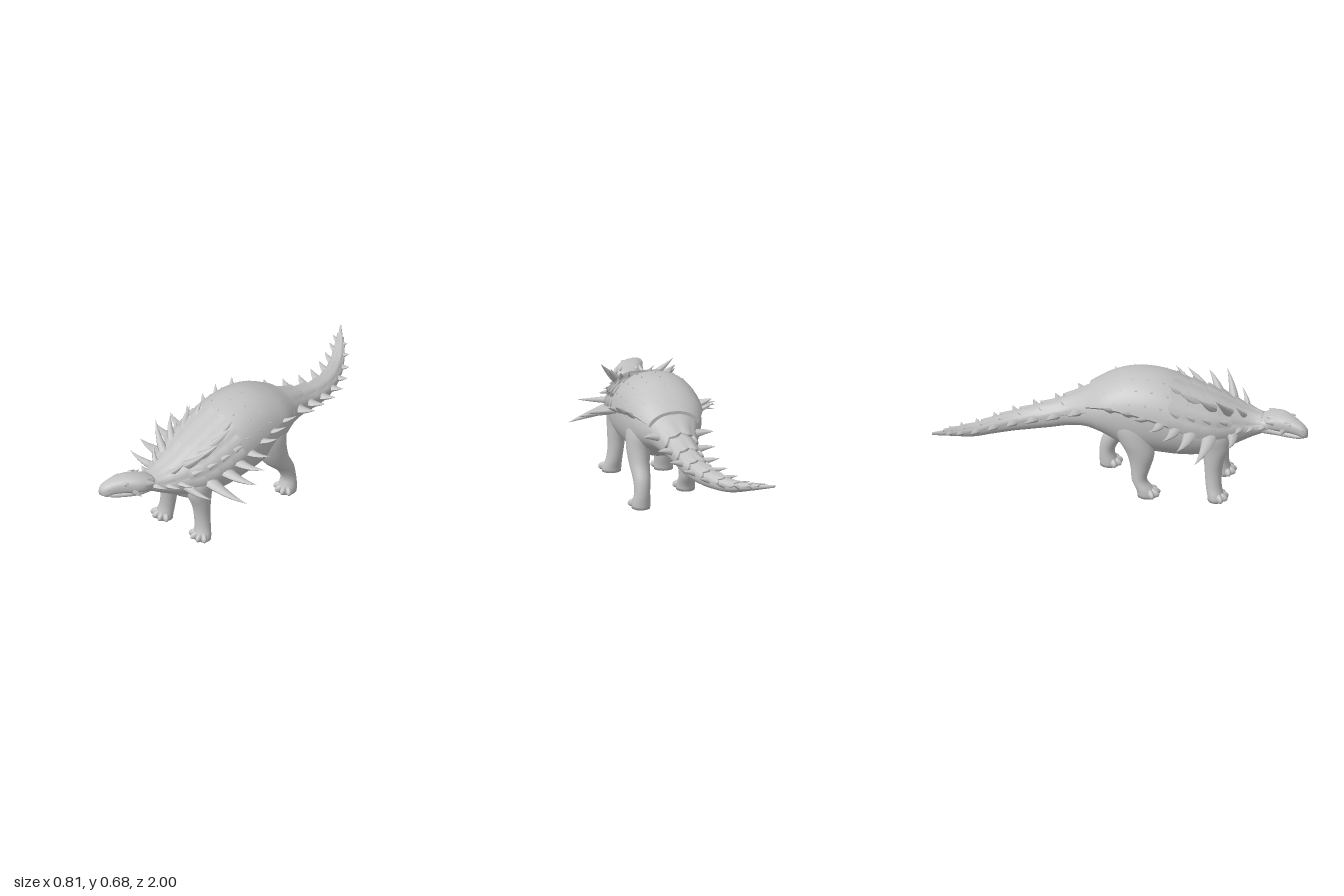
import * as THREE from 'three';
import { toCreasedNormals } from 'three/addons/utils/BufferGeometryUtils.js';

const hide = new THREE.MeshStandardMaterial({ color: 0xc2c2c2 });
hide.name = 'grey hide';
const V = (x, y, z) => new THREE.Vector3(x, y, z);

// Smooth lookup in a table whose first column is the parameter
function lookup(rows) {
  const f = new THREE.CubicInterpolant(rows.map(r => r[0]), rows.flatMap(r => r.slice(1)), rows[0].length - 1);
  return t => Array.from(f.evaluate(t));
}

// Surface through rings of points; closed rings are capped at both ends
function skin(rings, closed = true) {
  const n = rings[0].length, pos = [], idx = [];
  rings.forEach(r => r.forEach(p => pos.push(p.x, p.y, p.z)));
  const m = closed ? n : n - 1;
  for (let i = 0; i < rings.length - 1; i++) for (let j = 0; j < m; j++) {
    const a = i * n + j, b = i * n + (j + 1) % n;
    idx.push(a, b, a + n, b, b + n, a + n);
  }
  if (closed) [0, rings.length - 1].forEach((i, end) => {
    const c = rings[i].reduce((s, p) => s.add(p), V(0, 0, 0)).divideScalar(n);
    const k = pos.push(c.x, c.y, c.z) / 3 - 1;
    for (let j = 0; j < n; j++) {
      const a = i * n + j, b = i * n + (j + 1) % n;
      end ? idx.push(a, b, k) : idx.push(b, a, k);
    }
  });
  const g = new THREE.BufferGeometry();
  g.setAttribute('position', new THREE.Float32BufferAttribute(pos, 3));
  g.setIndex(idx);
  g.computeVertexNormals();
  return g;
}

// Point on a lengthwise form: table columns are z, centre x, top, bottom, half width
function surface(rows, power = 0.92) {
  const f = lookup(rows);
  return (z, a, off = 0) => {
    const [cx, top, bot, hw] = f(z), c = Math.cos(a), s = Math.sin(a);
    const bulge = v => Math.sign(v) * Math.abs(v) ** power;
    return V(cx + bulge(c) * (hw + off), (top + bot) / 2 + bulge(s) * ((top - bot) / 2 + off), z);
  };
}
function loft(rows, steps, sides, power) {
  const p = surface(rows, power), z0 = rows[0][0], z1 = rows[rows.length - 1][0];
  return skin(Array.from({ length: steps + 1 }, (_, i) =>
    Array.from({ length: sides }, (_, j) => p(z0 + (z1 - z0) * i / steps, j / sides * Math.PI * 2))));
}

const BODY = [
  [-1, -.33, .38, .365, .005], [-.9, -.235, .36, .325, .03], [-.8, -.155, .352, .29, .042],
  [-.7, -.09, .367, .283, .048], [-.6, -.045, .387, .285, .053], [-.5, -.02, .413, .292, .06],
  [-.4, -.01, .445, .307, .07], [-.3, 0, .49, .325, .09], [-.2, 0, .546, .335, .136],
  [-.1, 0, .606, .305, .182], [0, 0, .646, .25, .2], [.1, 0, .658, .228, .208], [.2, 0, .648, .22, .21],
  [.3, 0, .617, .215, .206], [.4, 0, .585, .22, .193], [.5, 0, .55, .24, .17], [.6, 0, .507, .292, .125],
  [.7, -.01, .472, .345, .08], [.78, -.035, .47, .385, .06], [.82, -.045, .46, .39, .045]];
const SKULL = [
  [.74, -.02, .47, .4, .05], [.79, -.03, .49, .4, .072], [.85, -.052, .502, .405, .075], [.9, -.08, .498, .41, .06],
  [.95, -.107, .482, .408, .044], [.985, -.122, .463, .4, .031], [1, -.127, .445, .408, .017]];
const JAW = [
  [.74, -.03, .44, .372, .055], [.83, -.05, .43, .378, .06], [.9, -.08, .425, .382, .049],
  [.95, -.105, .42, .388, .035], [.98, -.118, .415, .395, .018]];
const SKULL_POWER = 0.78;
const onBody = surface(BODY), onSkull = surface(SKULL, SKULL_POWER);
const armourEdge = z => 0.22 - 0.7 * z;

// Raised armour band from z0 (rear) to z1 (front), highest and scalloped at the rear
function band(z0, z1, edge, rear, front, scutes, steps = 4) {
  const n = scutes * 8, rings = [];
  for (let i = -1; i <= steps + 1; i++) {
    const t = Math.min(Math.max(i / steps, 0), 1), lip = i < 0 || i > steps;
    rings.push(Array.from({ length: n + 1 }, (_, j) => {
      const keel = Math.abs(Math.sin(j / n * scutes * Math.PI));
      const z = z0 + (z1 - z0) * t - (1 - t) * (z1 - z0) * 0.16 * keel;
      const e = edge(z), a = e + (Math.PI - 2 * e) * j / n;
      const h = (rear + (front - rear) * t) * (0.65 + 0.5 * keel);
      return onBody(z, a, lip || j === 0 || j === n ? -0.006 : h);
    }));
  }
  return toCreasedNormals(skin(rings, false), 0.7);
}

// Smooth hip shield with a turned-down rim
function shield(z0, z1, height) {
  const steps = 24, n = 36, rings = [];
  for (let i = -1; i <= steps + 1; i++) {
    const t = Math.min(Math.max(i / steps, 0), 1), z = z0 + (z1 - z0) * t, e = armourEdge(z);
    rings.push(Array.from({ length: n + 1 }, (_, j) => {
      const rim = i < 0 || i > steps || j === 0 || j === n;
      return onBody(z, e + (Math.PI - 2 * e) * j / n, rim ? -0.006 : height * (1.6 - 0.6 * t));
    }));
  }
  return toCreasedNormals(skin(rings, false), 0.7);
}

// Curved tapering horn, optionally flattened in height
function spike(base, tip, r, sag = V(0, 0, 0), flat = 1) {
  const mid = base.clone().lerp(tip, 0.5).add(sag);
  const curve = new THREE.QuadraticBezierCurve3(base, mid, tip), S = 8, N = 8;
  const g = new THREE.TubeGeometry(curve, S, r, N), p = g.attributes.position;
  for (let i = 0; i < p.count; i++) {
    const t = Math.floor(i / (N + 1)) / S, c = curve.getPointAt(t), k = 1.02 - t ** 1.2;
    p.setXYZ(i, c.x + (p.getX(i) - c.x) * k, c.y + (p.getY(i) - c.y) * k * flat, c.z + (p.getZ(i) - c.z) * k);
  }
  g.computeVertexNormals();
  return g;
}

export function createModel() {
  const model = new THREE.Group();
  const add = (name, geo, parent = model) => {
    const m = new THREE.Mesh(geo, hide);
    m.name = name;
    parent.add(m);
    return m;
  };
  const blob = (name, p, sx, sy, sz, parent = model) => {
    const m = add(name, new THREE.SphereGeometry(1, 20, 14), parent);
    m.position.copy(p);
    m.scale.set(sx, sy, sz);
    return m;
  };
  const group = name => {
    const g = new THREE.Group();
    g.name = name;
    model.add(g);
    return g;
  };

  add('bodyAndTail', loft(BODY, 90, 40));
  blob('chest', V(0, .345, .5), .155, .11, .112);

  // Head
  const head = group('head');
  add('skull', loft(SKULL, 24, 32, SKULL_POWER), head);
  add('lowerJaw', loft(JAW, 16, 32), head);
  for (const s of [1, -1]) {
    const at = (z, a, off) => onSkull(z, s > 0 ? a : Math.PI - a, off);
    blob('eye', at(.905, .4, -.004), .007, .008, .009, head);
    blob('brow', at(.895, .75, -.006), .012, .007, .028, head);
    blob('nostril', at(.975, .4, -.003), .004, .005, .006, head);
    add('cheekHorn', spike(at(.87, -.5, -.012), at(.85, -.6, .025), .02), head);
    add('rearHorn', spike(at(.81, .4, -.012), at(.765, .3, .025), .022), head);
    add('crownHorn', spike(at(.8, 1, -.01), at(.765, .9, .012), .014), head);
  }

  // Armour: hip shield, shoulder bands, neck bands
  const armour = group('armour');
  add('hipShield', shield(-.2, .275, .012), armour);
  [.27, .355, .44, .52, .595, .665, .735].forEach((z, i, all) => {
    if (i) add('shoulderBand', band(all[i - 1], z + .006, armourEdge, .017, .004, i > 4 ? 6 : 8), armour);
  });

  // Tiny studs lying back over the hip shield
  const studs = group('hipStuds');
  for (let i = 0; i < 5; i++) for (let j = 0; j < 7; j++) {
    const z = -.12 + i * .085 + (j % 2) * .03, a = .5 + j * (Math.PI - 1) / 6;
    add('stud', spike(onBody(z, a, .01), onBody(z - .014, a, .02), .006), studs);
  }

  // Long flank spikes: tip z, x, y and base radius
  const flank = group('flankSpikes');
  const FLANK = [[.6, .31, .4, .032], [.43, .405, .335, .042], [.33, .383, .395, .04], [.25, .36, .44, .035],
    [.17, .315, .467, .032], [.08, .285, .52, .03], [0, .268, .548, .028], [-.1, .245, .556, .026]];
  // Upright back spikes: base z, base angle, tip x, y, z and base radius
  const BACK = [[.65, 1, .12, .55, .61, .017], [.57, .95, .2, .615, .515, .027], [.49, .95, .185, .61, .42, .026],
    [.4, 1.0, .15, .63, .31, .023], [.31, 1.1, .12, .65, .25, .015]];
  for (const s of [1, -1]) {
    const side = (z, a, off) => onBody(z, s > 0 ? a : Math.PI - a, off);
    FLANK.forEach(([z, x, y, r], i) => {
      const zb = z + (i ? .045 : -.01);
      add('flankSpike', spike(side(zb, armourEdge(zb) + .05, -.02), V(s * x, y, z), r, V(s * .01, -.008, .02), .65), flank);
    });
    BACK.forEach(([z, a, x, y, tz, r]) =>
      add('backSpike', spike(side(z, a, -.01), V(s * x, y, tz), r, V(s * .008, -.008, .012)), flank));
    for (let i = 0; i < 4; i++) {
      const z = .56 - i * .085;
      add('shoulderKnob', spike(side(z, .45, 0), side(z - .035, .48, .03), .018), flank);
    }
    for (let i = 0; i < 3; i++) {
      const z = .63 + i * .06;
      add('neckSpike', spike(side(z, .15, -.01), side(z - .02, .1, .07 - i * .014), .022, V(0, 0, .01), .7), flank);
    }
  }

  // Tail rings, each with a pair of broad swept-back side spikes
  const tail = group('tailArmour'), RINGS = 8;
  const tailZ = k => -.2 - .74 * (1 - (1 - k / RINGS) ** 1.4);
  for (let k = 0; k < RINGS; k++) {
    const z1 = tailZ(k), z0 = tailZ(k + 1), z = z0 * .4 + z1 * .6, size = 1 - k / (RINGS + 1);
    add('tailRing', band(z0, z1 + .005, () => .05, .005 + .011 * size, .002, 4), tail);
    for (const a of [.25, Math.PI - .25])
      add('tailSpike', spike(onBody(z, a, -.012), onBody(z - .04 * size, a, .012 + .095 * size), .012 + .025 * size,
        V(0, 0, .018 * size), .65), tail);
  }

  // Legs: columns are height, x, z, x radius, z radius
  const FRONT = [[0, .145, .508, .052, .045], [.025, .144, .506, .052, .045], [.07, .136, .495, .045, .043],
    [.15, .126, .49, .044, .046], [.22, .122, .492, .049, .054], [.3, .112, .495, .06, .078],
    [.38, .108, .475, .068, .09], [.46, .095, .45, .05, .05]];
  const HIND_X = [[0, .16, .05, .052], [.03, .16, .051, .05], [.09, .156, .043, .041], [.17, .152, .047, .054],
    [.25, .15, .056, .075], [.33, .144, .066, .092], [.42, .13, .07, .108], [.5, .105, .06, .075]];
  const hind = zs => HIND_X.map(([y, x, rx, rz], i) => [y, x, zs[i], rx, rz]);
  const leg = (name, rows, s, lift) => {
    const g = group(name), f = lookup(rows), steps = 28, top = rows[rows.length - 1][0];
    add('limb', skin(Array.from({ length: steps + 1 }, (_, i) => {
      const y = top * i / steps, [x, z, rx, rz] = f(y);
      return Array.from({ length: 24 }, (_, j) => {
        const a = j / 24 * Math.PI * 2;
        return V(s * x + rx * Math.cos(a), y + lift * Math.max(0, 1 - y / .2), z - rz * Math.sin(a));
      });
    })), g);
    // Toes spread forward and slope down to the ground
    const [, x, z, rx, rz] = rows[0];
    for (let i = 0; i < 4; i++) {
      const a = -.95 + i * .63;
      const toe = blob('toe', V(s * x + Math.sin(a) * rx * .8, .025 + lift, z + Math.cos(a) * rz * .72), .017, .022, .036, g);
      toe.rotation.set(.3, a, 0, 'YXZ');
    }
  };
  leg('frontLegLeft', FRONT, 1, .014);
  leg('frontLegRight', FRONT, -1, 0);
  leg('hindLegLeft', hind([-.115, -.118, -.128, -.102, -.045, -.015, -.005, 0]), 1, .01);
  leg('hindLegRight', hind([.137, .132, .096, .1, .1, .07, .04, .02]), -1, .004);
  return model;
}
